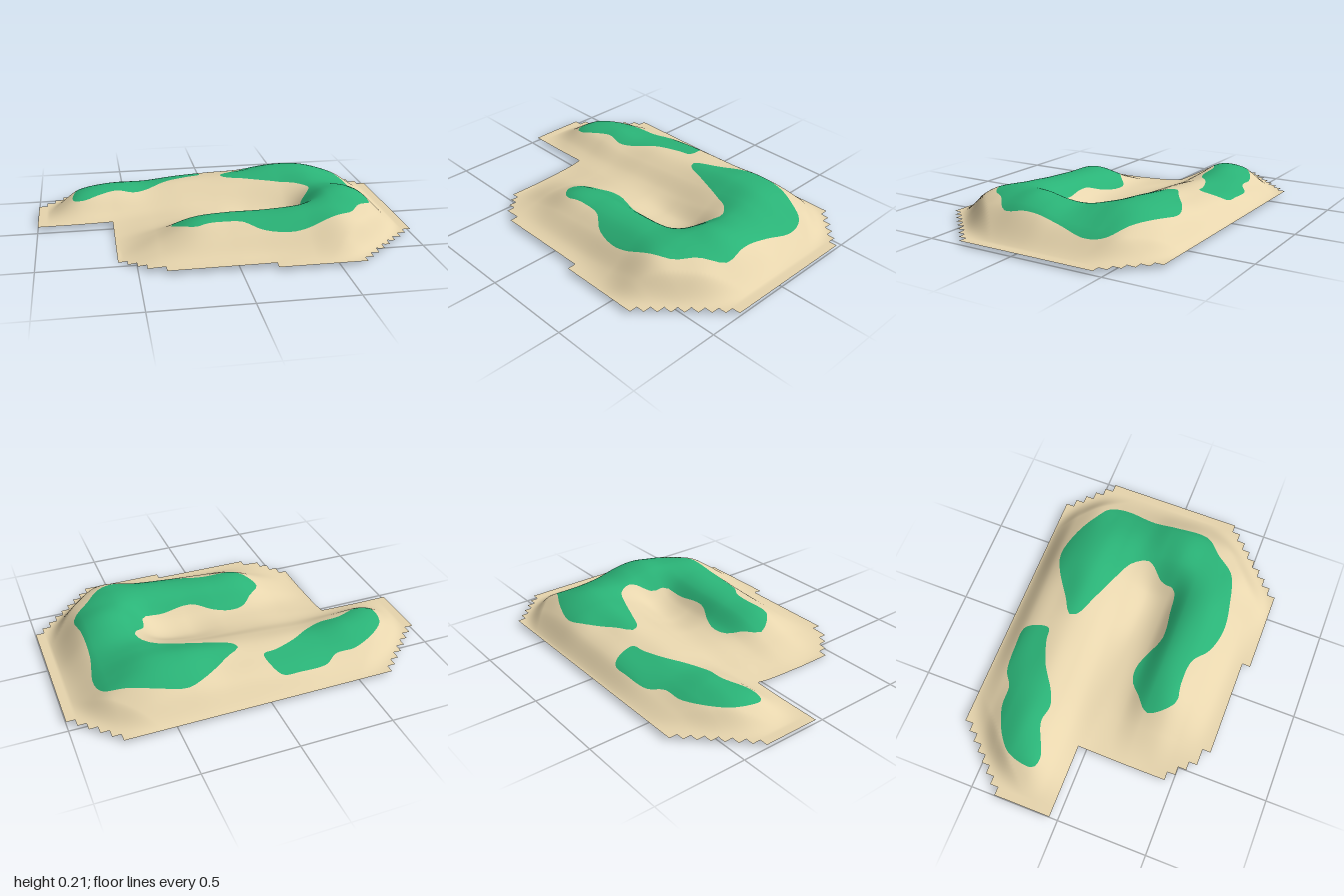
import * as THREE from 'three';

const CELL = 1 / 22; // size of one step of the jagged rim
const SUB = 3;       // fine squares per rim step

// Coarse ground heights in thousandths: columns x = -0.95..0.95, rows z = -0.68..0.68
const HEIGHTS = [
  [20, 20, 20, 20, 20, 20, 20, 20, 20, 20, 20],
  [20, 40, 60, 75, 95, 105, 110, 125, 115, 70, 20],
  [20, 85, 115, 115, 125, 138, 148, 178, 172, 115, 20],
  [20, 118, 142, 126, 138, 150, 172, 195, 192, 120, 20],
  [20, 112, 112, 97, 110, 124, 140, 162, 180, 122, 20],
  [20, 45, 44, 50, 66, 72, 80, 112, 166, 135, 20],
  [18, 10, 18, 38, 56, 54, 38, 62, 180, 165, 20],
  [18, 10, 8, 36, 70, 74, 62, 85, 202, 178, 20],
  [18, 10, 4, 58, 130, 148, 150, 163, 200, 162, 20],
  [18, 10, 0, 64, 143, 153, 163, 180, 190, 140, 20],
  [18, 10, 2, 40, 88, 104, 118, 136, 165, 100, 20],
  [18, 12, 10, 24, 31, 35, 40, 60, 92, 45, 20],
  [20, 20, 20, 20, 20, 20, 20, 20, 20, 20, 20],
];

// Outlines of the grassy patches, as x, z
const PATCHES = [
  [[-.8, -.22], [-.78, -.36], [-.7, -.44], [-.55, -.51], [-.43, -.52], [-.35, -.57], [-.2, -.585], [-.09, -.58],
    [-.055, -.52], [-.05, -.44], [-.12, -.425], [-.25, -.375], [-.38, -.29], [-.46, -.26], [-.56, -.27], [-.74, -.2]],
  [[.06, -.36], [.15, -.42], [.3, -.52], [.4, -.555], [.55, -.52], [.7, -.45], [.79, -.4], [.82, -.3], [.79, -.12],
    [.79, .05], [.8, .2], [.7, .3], [.62, .4], [.45, .455], [.3, .475], [.15, .44], [.05, .37], [-.1, .36],
    [-.2, .37], [-.3, .24], [-.22, .16], [-.15, .1], [-.07, .09], [.02, .12], [.13, .17], [.3, .155], [.43, .13],
    [.45, .05], [.53, -.06], [.48, -.15], [.38, -.2], [.2, -.27], [.08, -.32]],
].map((pts) => new THREE.CatmullRomCurve3(pts.map(([x, z]) => new THREE.Vector3(x, 0, z)), true).getSpacedPoints(110));

const { clamp, smoothstep } = THREE.MathUtils;

function cubic(a, b, c, d, t) {
  return b + 0.5 * t * (c - a + t * (2 * a - 5 * b + 4 * c - d + t * (3 * (b - c) + d - a)));
}

// Smooth ground height through the coarse heights, levelling out at the cut corners
function height(x, z) {
  const u = clamp((x + 0.95) / 0.19, 0, 10), v = clamp((z / CELL + 15) / 2.5, 0, 12);
  const i = Math.min(Math.floor(u), 9), j = Math.min(Math.floor(v), 11);
  const row = (r) => {
    const h = HEIGHTS[clamp(r, 0, 12)];
    return cubic(...[-1, 0, 1, 2].map((k) => h[clamp(i + k, 0, 10)]), u - i);
  };
  const ground = cubic(row(j - 1), row(j), row(j + 1), row(j + 2), v - j) / 1000;
  const corner = Math.min(x + z + 1.364, 1.455 - x + z, 1.318 - x - z) / Math.SQRT2;
  return Math.max(0, 0.02 + (ground - 0.02) * smoothstep(corner, 0.01, 0.15));
}

// Distance to the edge of the nearest patch, positive inside
function grassiness(x, z) {
  let best = -9;
  for (const pts of PATCHES) {
    let inside = false, dist = 9;
    for (let k = 0; k < pts.length - 1; k++) {
      const a = pts[k], b = pts[k + 1], dx = b.x - a.x, dz = b.z - a.z;
      const t = clamp(((x - a.x) * dx + (z - a.z) * dz) / (dx * dx + dz * dz || 1), 0, 1);
      dist = Math.min(dist, Math.hypot(x - a.x - t * dx, z - a.z - t * dz));
      if ((a.z > z) !== (b.z > z) && x < a.x + (z - a.z) / dz * dx) inside = !inside;
    }
    best = Math.max(best, inside ? dist : -dist);
  }
  return best;
}

// First and last rim step of each row, giving the stepped outline and the notch
function rowSpan(j) {
  let left = j < -1 ? Math.max(-22, -30 - j) : -13;
  if (j >= 10) left = [-12, -11, -10, -8, 4][j - 10];
  return [left, Math.min(22, 32 + j, 28 - j)];
}

// Keep the part of a triangle on one side of the patch edge
function clip(tri, sign) {
  const out = [];
  tri.forEach((a, k) => {
    const b = tri[(k + 1) % 3];
    if (a.s * sign >= 0) out.push(a);
    if (a.s * b.s < 0) {
      const t = a.s / (a.s - b.s);
      out.push({ x: a.x + (b.x - a.x) * t, z: a.z + (b.z - a.z) * t, s: 0 });
    }
  });
  return out;
}

function surface(name, triangles, material) {
  const pos = [], nor = [], e = 0.006, n = new THREE.Vector3();
  for (const p of triangles) {
    pos.push(p.x, height(p.x, p.z), p.z);
    n.set(height(p.x - e, p.z) - height(p.x + e, p.z), 2 * e, height(p.x, p.z - e) - height(p.x, p.z + e)).normalize();
    nor.push(n.x, n.y, n.z);
  }
  const geo = new THREE.BufferGeometry();
  geo.setAttribute('position', new THREE.Float32BufferAttribute(pos, 3));
  geo.setAttribute('normal', new THREE.Float32BufferAttribute(nor, 3));
  const mesh = new THREE.Mesh(geo, material);
  mesh.name = name;
  return mesh;
}

export function createModel() {
  const sandMat = new THREE.MeshStandardMaterial({ name: 'sand', color: 0xe8d6ae, side: THREE.DoubleSide });
  const grassMat = new THREE.MeshStandardMaterial({ name: 'grass', color: 0x2ab377, side: THREE.DoubleSide });
  const sand = [], grass = [], cache = new Map();

  const point = (i, j) => {
    const key = i * 1000 + j;
    if (!cache.has(key)) {
      const x = i * CELL / SUB, z = j * CELL / SUB;
      cache.set(key, { x, z, s: grassiness(x, z) });
    }
    return cache.get(key);
  };

  const add = (list, poly) => {
    for (let k = 1; k < poly.length - 1; k++) list.push(poly[0], poly[k], poly[k + 1]);
  };

  // Fine squares inside the stepped outline, split between sand and grass
  for (let j = -15 * SUB; j < 15 * SUB; j++) {
    const [left, right] = rowSpan(Math.floor(j / SUB));
    for (let i = left * SUB; i < right * SUB; i++) {
      const a = point(i, j), b = point(i, j + 1), c = point(i + 1, j + 1), d = point(i + 1, j);
      for (const tri of [[a, b, c], [a, c, d]]) {
        add(sand, clip(tri, -1));
        add(grass, clip(tri, 1));
      }
    }
  }

  const model = new THREE.Group();
  model.name = 'bunkerMound';
  model.add(surface('sandGround', sand, sandMat), surface('grassPatches', grass, grassMat));
  return model;
}
